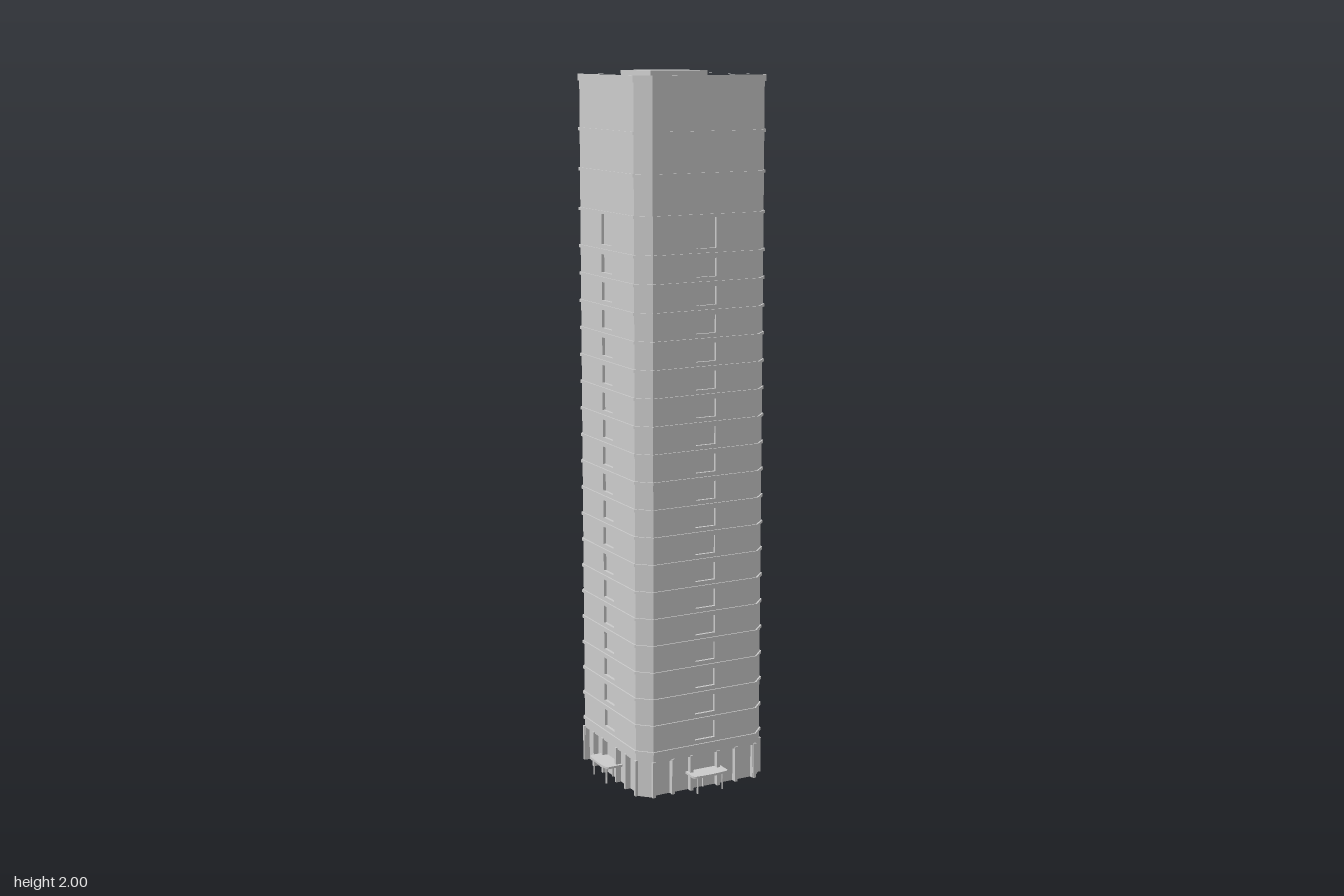
import * as THREE from 'three';

const mat = new THREE.MeshStandardMaterial({ color: 0xcccccc, flatShading: true });
const HALF = 0.2, CUT = 0.037;

// Square plan with cut corners; optional notch in the middle of every side
function plan(h, cut, notchHalf = 0, depth = 0) {
  const side = [[-(h - cut), h]];
  if (notchHalf) {
    side.push([-notchHalf, h], [-notchHalf, h - depth], [notchHalf, h - depth], [notchHalf, h]);
  }
  side.push([h - cut, h]);
  const pts = [];
  for (let k = 0; k < 4; k++) {
    const c = Math.round(Math.cos(k * Math.PI / 2)), s = Math.round(Math.sin(k * Math.PI / 2));
    side.forEach(([x, y]) => pts.push(new THREE.Vector2(c * x + s * y, -s * x + c * y)));
  }
  return pts;
}

function add(parent, name, geometry, x = 0, y = 0, z = 0) {
  const mesh = new THREE.Mesh(geometry, mat);
  mesh.name = name;
  mesh.position.set(x, y, z);
  parent.add(mesh);
  return mesh;
}

// Upright prism between two heights
function prism(parent, name, pts, y0, y1, hole) {
  const shape = new THREE.Shape(pts);
  if (hole) shape.holes.push(new THREE.Path(hole));
  const geo = new THREE.ExtrudeGeometry(shape, { depth: y1 - y0, bevelEnabled: false });
  geo.rotateX(-Math.PI / 2);
  return add(parent, name, geo, 0, y0, 0);
}

const box = (w, h, d) => new THREE.BoxGeometry(w, h, d);

export function createModel() {
  const tower = new THREE.Group();
  tower.name = 'tower';
  const full = plan(HALF, CUT);
  const notched = plan(HALF, CUT, 0.031, 0.008);
  const ledge = plan(0.204, 0.039);

  // Ground floor: recessed glazing between solid corners, under a plain lintel
  prism(tower, 'lobbyWall', plan(HALF, CUT, 0.157, 0.012), 0, 0.1);
  prism(tower, 'lobbyLintel', full, 0.1, 0.13);

  // Eighteen regular storeys and a taller one, each with a window niche per side
  const step = 0.077;
  for (let i = 0; i < 19; i++) {
    const y = 0.13 + i * step;
    const top = i === 18 ? 1.62 : y + step;
    const windowTop = i === 18 ? 1.615 : y + 0.066;
    prism(tower, 'storeySill', full, y, y + 0.016);
    prism(tower, 'storeyWall', notched, y + 0.016, windowTop);
    prism(tower, 'storeyHead', full, windowTop, top);
    prism(tower, 'floorLedge', ledge, y - 0.004, y + 0.004);
  }

  // Plain crown with wider spaced ledges
  prism(tower, 'crownWall', full, 1.62, 1.95);
  for (const y of [1.62, 1.73, 1.84]) prism(tower, 'crownLedge', ledge, y - 0.004, y + 0.004);

  // Parapet around the sunken roof, and the plant room
  const inner = plan(0.197, 0.036);
  prism(tower, 'parapet', full, 1.95, 1.975, inner);
  prism(tower, 'parapetCap', ledge, 1.972, 1.99, inner);
  add(tower, 'plantRoom', box(0.176, 0.05, 0.176), 0, 1.975, -0.0425);

  // Entrance canopy outline with a softly bowed front edge
  const canopy = new THREE.Shape();
  canopy.moveTo(-0.056, 0.18);
  canopy.lineTo(-0.056, 0.232);
  canopy.quadraticCurveTo(-0.053, 0.238, -0.045, 0.239);
  canopy.quadraticCurveTo(0, 0.244, 0.045, 0.239);
  canopy.quadraticCurveTo(0.053, 0.238, 0.056, 0.232);
  canopy.lineTo(0.056, 0.18);
  const canopyGeo = new THREE.ExtrudeGeometry(canopy, { depth: 0.006, bevelEnabled: false, curveSegments: 5 });
  canopyGeo.rotateX(Math.PI / 2);
  const postGeo = new THREE.CylinderGeometry(0.0025, 0.0025, 0.05, 8);

  // The same entrance front on all four sides
  for (let k = 0; k < 4; k++) {
    const front = new THREE.Group();
    front.name = 'entranceFront';
    front.rotation.y = k * Math.PI / 2;
    add(front, 'canopy', canopyGeo, 0, 0.054, 0);
    add(front, 'doorMullion', box(0.004, 0.05, 0.006), 0, 0.025, 0.19);
    for (const s of [-1, 1]) {
      add(front, 'canopyPost', postGeo, s * 0.04, 0.025, 0.231);
      for (const x of [0.043, 0.102, 0.163]) {
        add(front, 'pier', box(0.009, 0.104, 0.018), s * x, 0.052, 0.195);
      }
    }
    tower.add(front);
  }
  return tower;
}
